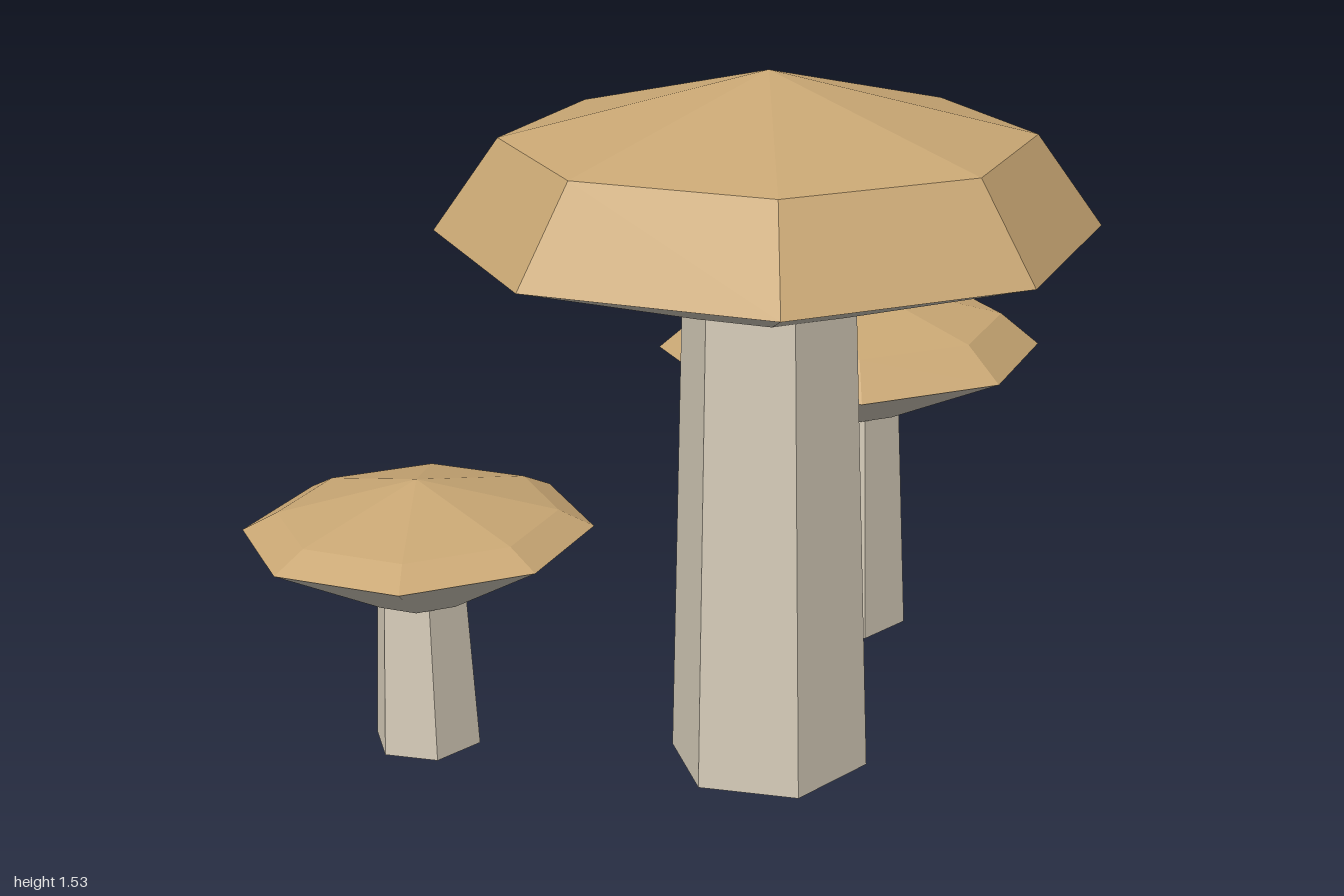
import * as THREE from 'three';

const capTan = new THREE.MeshStandardMaterial({ color: 0xc9a774 });
capTan.name = 'capTan';
const stemCream = new THREE.MeshStandardMaterial({ color: 0xd6ccb9 });
stemCream.name = 'stemCream';
const gillGrey = new THREE.MeshStandardMaterial({ color: 0xd0c9ba });
gillGrey.name = 'gillGrey';

// Faceted solid of revolution; the profile runs from bottom to top as [radius, height]
function faceted(name, profile, sides, material, startAngle = 0) {
  const points = profile.map(([r, y]) => new THREE.Vector2(r, y));
  const geometry = new THREE.LatheGeometry(points, sides, startAngle).toNonIndexed();
  geometry.computeVertexNormals();
  const mesh = new THREE.Mesh(geometry, material);
  mesh.name = name;
  return mesh;
}

function mushroom({ name, x, z, radius, gillY, rimY, shoulderY, topY }) {
  const group = new THREE.Group();
  group.name = name;
  group.position.set(x, 0, z);
  group.add(
    // Hexagonal tapered stem, closed at the foot, its top tucked into the gills
    faceted('stem', [[0, 0], [radius * 0.32, 0], [radius * 0.271, gillY + 0.002]], 6, stemCream, Math.PI / 2),
    // Underside flaring out to the rim
    faceted('gills', [[0, gillY], [radius * 0.3, gillY], [radius, rimY]], 8, gillGrey),
    // Octagonal cap with a steep skirt and a shallow crown
    faceted('cap', [[radius, rimY], [radius * 0.8, shoulderY], [0, topY]], 8, capTan)
  );
  return group;
}

export function createModel() {
  const model = new THREE.Group();
  model.name = 'mushroomCluster';
  [
    { name: 'largeMushroom', x: -0.156, z: 0.153, radius: 0.688, gillY: 1.045, rimY: 1.198, shoulderY: 1.39, topY: 1.526 },
    { name: 'mediumMushroom', x: 0.536, z: -0.23, radius: 0.459, gillY: 0.558, rimY: 0.711, shoulderY: 0.788, topY: 0.878 },
    { name: 'smallMushroom', x: -0.618, z: -0.46, radius: 0.382, gillY: 0.35, rimY: 0.503, shoulderY: 0.542, topY: 0.616 },
  ].forEach((spec) => model.add(mushroom(spec)));
  return model;
}
